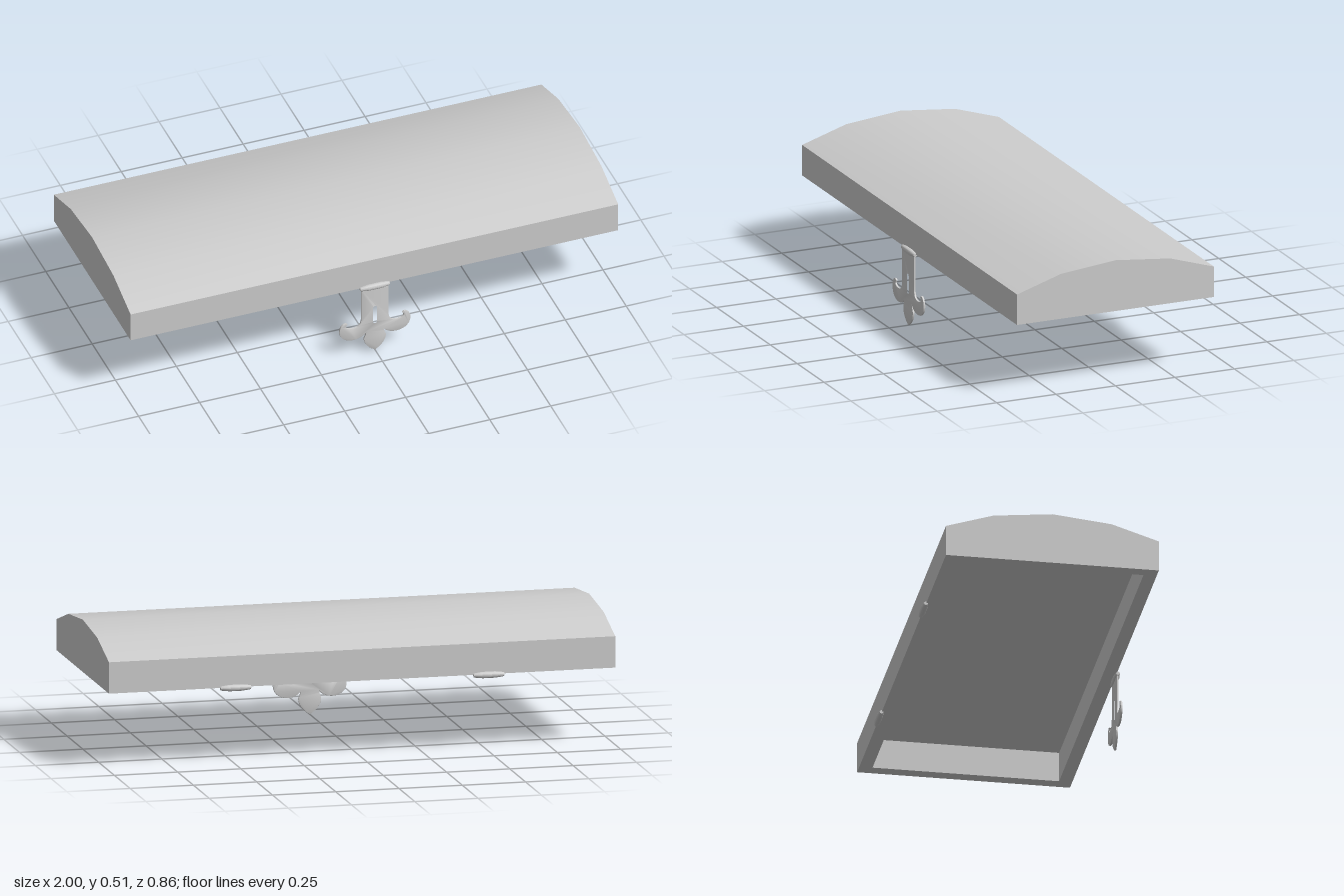
import * as THREE from 'three';
import { toCreasedNormals } from 'three/addons/utils/BufferGeometryUtils.js';

const material = new THREE.MeshStandardMaterial({ color: 0xcccccc });

function part(name, geometry, x = 0, y = 0, z = 0) {
  const mesh = new THREE.Mesh(geometry, material);
  mesh.name = name;
  mesh.position.set(x, y, z);
  return mesh;
}

// Polygon in (z, y) swept along x, centred on x = 0
function sweepAlongX(points, length) {
  const shape = new THREE.Shape(points.map(([z, y]) => new THREE.Vector2(-z, y)));
  const geometry = new THREE.ExtrudeGeometry(shape, { depth: length, bevelEnabled: false });
  geometry.translate(0, 0, -length / 2);
  geometry.rotateY(Math.PI / 2);
  return toCreasedNormals(geometry, 0.3);
}

const HALF_DEPTH = 0.414, RIM_Y = 0.307, EAVE_Y = 0.43, WALL = 0.051, CEILING_Y = 0.427;

function createLid() {
  const lid = new THREE.Group();
  lid.name = 'lid';

  // Solid arched top, flat underneath
  lid.add(part('archedTop', sweepAlongX([
    [HALF_DEPTH, CEILING_Y], [HALF_DEPTH, EAVE_Y], [0.23, 0.488], [0, 0.512],
    [-0.23, 0.488], [-HALF_DEPTH, EAVE_Y], [-HALF_DEPTH, CEILING_Y],
  ], 2)));

  // Rectangular frame forming the hollow underside
  const frame = new THREE.Shape();
  frame.moveTo(-1, -HALF_DEPTH).lineTo(1, -HALF_DEPTH).lineTo(1, HALF_DEPTH).lineTo(-1, HALF_DEPTH).closePath();
  const hole = new THREE.Path();
  const w = 1 - WALL, d = HALF_DEPTH - WALL;
  hole.moveTo(-w, -d).lineTo(-w, d).lineTo(w, d).lineTo(w, -d).closePath();
  frame.holes.push(hole);
  const rim = new THREE.ExtrudeGeometry(frame, { depth: CEILING_Y - RIM_Y, bevelEnabled: false });
  rim.rotateX(-Math.PI / 2);
  lid.add(part('rim', rim, 0, RIM_Y, 0));
  return lid;
}

// Barrel knuckle with tapered ends, lying along x
function knuckleGeometry() {
  const profile = [[0, -0.06], [0.007, -0.06], [0.0085, -0.056], [0.0125, -0.025],
    [0.0125, 0.025], [0.0085, 0.056], [0.007, 0.06], [0, 0.06]];
  const geometry = new THREE.LatheGeometry(profile.map(([r, y]) => new THREE.Vector2(r, y)), 20);
  geometry.rotateZ(Math.PI / 2);
  return toCreasedNormals(geometry, 0.6);
}

// Hasp plate: stem, two curled side leaves and a pointed centre leaf
function haspGeometry() {
  const start = [0.055, 0.303];
  const curves = [ // control x, y, end x, y down the +x side
    [0.055, 0.24, 0.055, 0.165],
    [0.056, 0.128, 0.088, 0.128],
    [0.118, 0.128, 0.119, 0.142],
    [0.118, 0.15, 0.113, 0.152],
    [0.122, 0.164, 0.136, 0.15],
    [0.152, 0.128, 0.139, 0.1],
    [0.122, 0.073, 0.085, 0.074],
    [0.052, 0.076, 0.036, 0.098],
    [0.036, 0.084, 0.044, 0.07],
    [0.046, 0.035, 0, 0.006],
  ];
  const shape = new THREE.Shape();
  shape.moveTo(...start);
  curves.forEach(c => shape.quadraticCurveTo(...c));
  // Mirror the same curves back up the -x side
  for (let i = curves.length - 1; i >= 0; i--) {
    const [cx, cy] = curves[i];
    const [ex, ey] = i ? curves[i - 1].slice(2) : start;
    shape.quadraticCurveTo(-cx, cy, -ex, ey);
  }
  shape.closePath();

  const slot = new THREE.Path();
  slot.moveTo(-0.009, 0.14).lineTo(-0.009, 0.205);
  slot.absarc(0, 0.205, 0.009, Math.PI, 0, true);
  slot.lineTo(0.009, 0.14);
  slot.absarc(0, 0.14, 0.009, 0, -Math.PI, true);
  shape.holes.push(slot);

  const geometry = new THREE.ExtrudeGeometry(shape, {
    depth: 0.004, curveSegments: 8, bevelThickness: 0.002, bevelSize: 0.002, bevelOffset: -0.001, bevelSegments: 2,
  });
  geometry.translate(0, 0, -0.002);
  return toCreasedNormals(geometry, 0.6);
}

export function createModel() {
  const model = new THREE.Group();
  model.name = 'chestLid';
  model.add(createLid());

  // Hinge knuckles along the back edge
  const knuckle = knuckleGeometry();
  for (const side of [-1, 1]) {
    model.add(part(side < 0 ? 'rightHinge' : 'leftHinge', knuckle, side * 0.5, 0.305, -0.416));
  }

  // Clasp hanging from the front edge
  const clasp = new THREE.Group();
  clasp.name = 'clasp';
  clasp.add(part('claspKnuckle', knuckle, 0, 0.305, 0.417));
  clasp.add(part('hasp', haspGeometry(), 0, 0, 0.417));
  model.add(clasp);
  return model;
}
